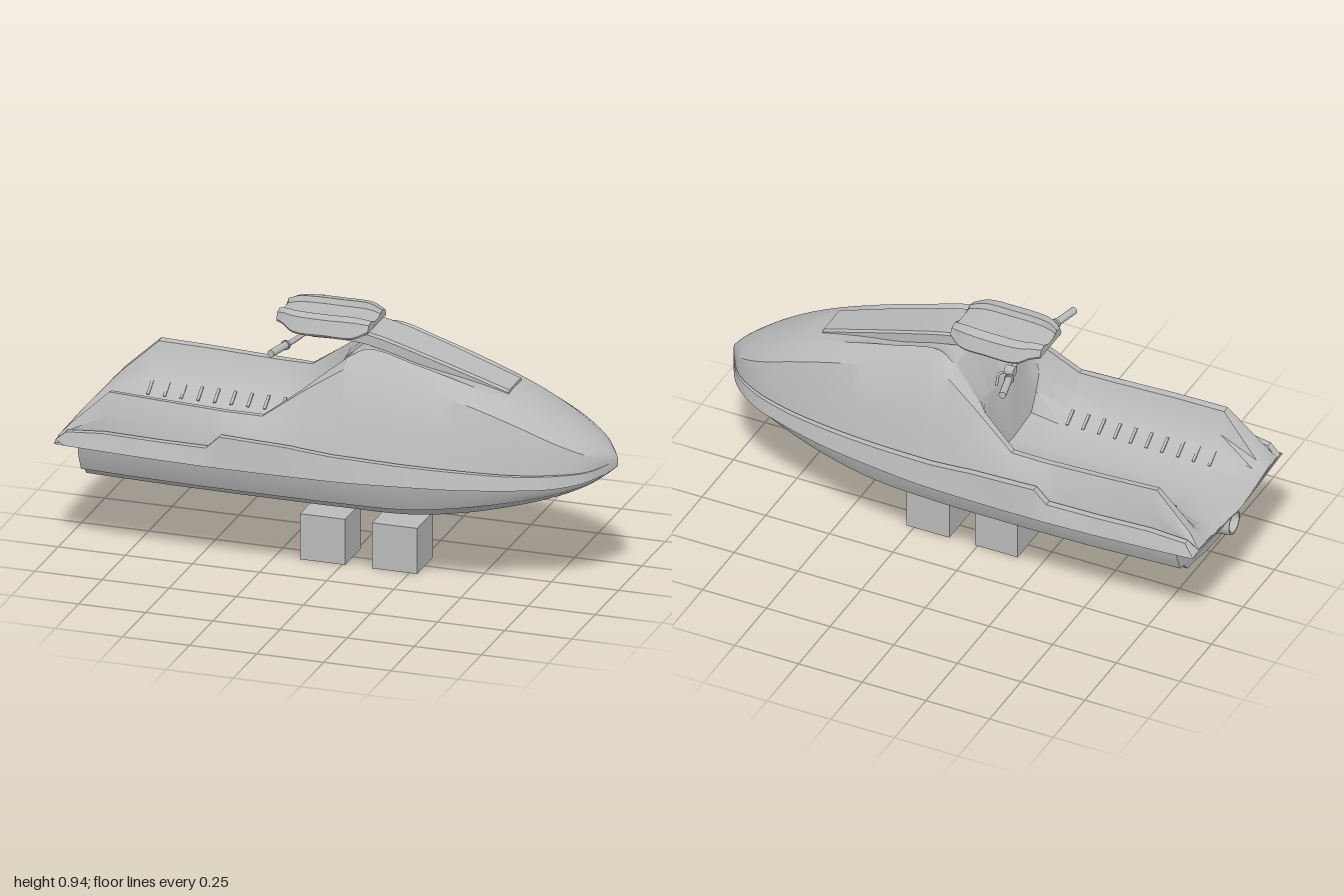
import * as THREE from 'three';
import { toCreasedNormals } from 'three/addons/utils/BufferGeometryUtils.js';

const grey = new THREE.MeshStandardMaterial({ color: 0xbababa });
grey.name = 'plain grey';
const V = (x, y, z) => new THREE.Vector3(x, y, z);

// Surface through mirrored half sections. Each station is { x, half: [[z, y], ...] },
// running from the +z side to the centre line; flip is for sections open at the top.
function loft(stations, { flip = false, steps = 4, startCap = null, endCap = null, crease = 0.5 } = {}) {
  const full = stations.map(({ x, half }) => {
    const left = half.map(([z, y]) => V(x, y, z));
    const right = half.slice(0, -1).reverse().map(([z, y]) => V(x, y, -z));
    const row = [...left, ...right];
    return flip ? row.reverse() : row;
  });
  const n = (full.length - 1) * steps;
  const cols = full[0].map((_, j) => new THREE.CatmullRomCurve3(full.map(r => r[j]), false, 'centripetal'));
  const rows = [];
  for (let i = 0; i <= n; i++) rows.push(cols.map(c => c.getPoint(i / n)));
  if (startCap) rows.unshift(cols.map(() => startCap));
  if (endCap) rows.push(cols.map(() => endCap));
  const pos = [];
  const tri = (a, b, c) => {
    if (b.clone().sub(a).cross(c.clone().sub(a)).length() < 1e-9) return;
    for (const p of [a, b, c]) pos.push(p.x, p.y, p.z);
  };
  for (let i = 0; i < rows.length - 1; i++) {
    for (let j = 0; j < cols.length - 1; j++) {
      tri(rows[i][j], rows[i + 1][j], rows[i][j + 1]);
      tri(rows[i + 1][j], rows[i + 1][j + 1], rows[i][j + 1]);
    }
  }
  const g = new THREE.BufferGeometry();
  g.setAttribute('position', new THREE.Float32BufferAttribute(pos, 3));
  return toCreasedNormals(g, crease);
}

// Deck section: rub rail, lip, outer wall, shoulder, ridge, inner slope, centre line
function deckSection([x, w, rail, lip, sz, sy, rz, ry, mz, my, cy]) {
  const base = [w * 0.86, lip - (lip > 0.47 ? 0.025 * Math.min(1, w / 0.3) : 0)];
  const sag = Math.min(0.025, Math.max(0, (ry - my) * 0.16));
  return { x, half: [
    [w, rail], [w * 0.945, lip], [w * 0.88, lip], base,
    [(base[0] + sz) / 2 + w * 0.025, (base[1] + sy) / 2],
    [sz, sy], [rz, ry],
    [mz + (rz - mz) * 0.75, my + (ry - my) * 0.68 - sag],
    [mz + (rz - mz) * 0.45, my + (ry - my) * 0.4 - sag],
    [mz, my], [0, cy],
  ] };
}

export function createModel() {
  const model = new THREE.Group();
  model.name = 'standUpWatercraft';
  const add = (name, geo, x = 0, y = 0, z = 0) => {
    const m = new THREE.Mesh(geo, grey);
    m.name = name;
    m.position.set(x, y, z);
    model.add(m);
    return m;
  };
  const bowTip = V(0.999, 0.48, 0);

  // Lower hull: x, half width, rail height, keel height; the chines lift towards the bow
  const hullRows = [
    [-0.9, 0.363, 0.43, 0.262], [-0.55, 0.385, 0.43, 0.262], [-0.22, 0.39, 0.43, 0.261],
    [0.05, 0.383, 0.43, 0.259], [0.3, 0.355, 0.43, 0.256], [0.5, 0.32, 0.43, 0.268],
    [0.68, 0.27, 0.432, 0.305], [0.82, 0.215, 0.435, 0.355], [0.92, 0.14, 0.445, 0.408],
    [0.97, 0.06, 0.458, 0.445], [0.995, 0.01, 0.47, 0.466],
  ];
  const hullShape = [[1, 1, 0], [0.91, 1, 0], [0.885, 0.72, 0.05], [0.81, 0.37, 0.2], [0.73, 0.34, 0.14],
    [0.65, 0.15, 0.2], [0.52, 0.14, 0.12], [0.27, 0.04, 0.04], [0, 0, 0]];
  add('hull', loft(hullRows.map(([x, w, rail, keel]) => {
    const bow = THREE.MathUtils.clamp((x - 0.3) / 0.5, 0, 1);
    return { x, half: hullShape.map(([a, b, lift]) => [w * a, keel + (rail - keel) * (b + lift * bow)]) };
  }), { flip: true, steps: 6, startCap: V(-0.91, 0.43, 0), endCap: bowTip }));

  // Foot tray and hood: x, half width, rail, lip, shoulder z y, ridge z y, inner z y, centre y
  const trayRows = [
    [-0.98, 0.355, 0.43, 0.44, 0.305, 0.445, 0.27, 0.445, 0.15, 0.44, 0.435],
    [-0.94, 0.36, 0.43, 0.475, 0.295, 0.49, 0.26, 0.487, 0.14, 0.445, 0.438],
    [-0.8, 0.37, 0.43, 0.49, 0.28, 0.622, 0.255, 0.618, 0.13, 0.455, 0.442],
    [-0.6, 0.383, 0.43, 0.49, 0.285, 0.615, 0.26, 0.612, 0.13, 0.455, 0.442],
    [-0.41, 0.39, 0.43, 0.492, 0.285, 0.607, 0.26, 0.605, 0.13, 0.455, 0.442],
    [-0.36, 0.39, 0.43, 0.54, 0.285, 0.605, 0.26, 0.603, 0.13, 0.455, 0.442],
    [-0.23, 0.39, 0.43, 0.535, 0.28, 0.603, 0.258, 0.603, 0.13, 0.455, 0.442],
    [-0.1, 0.388, 0.43, 0.53, 0.25, 0.695, 0.225, 0.7, 0.14, 0.465, 0.45],
    [-0.06, 0.387, 0.43, 0.525, 0.24, 0.722, 0.205, 0.733, 0.12, 0.7, 0.68],
  ];
  const hoodRows = [
    [0.05, 0.383, 0.43, 0.515, 0.213, 0.79, 0.162, 0.82, 0.1, 0.82, 0.81],
    [0.12, 0.378, 0.43, 0.512, 0.209, 0.787, 0.148, 0.853, 0.1, 0.835, 0.835],
    [0.3, 0.355, 0.43, 0.5, 0.202, 0.755, 0.138, 0.81, 0.095, 0.79, 0.79],
    [0.5, 0.32, 0.43, 0.49, 0.195, 0.705, 0.125, 0.75, 0.08, 0.748, 0.75],
    [0.68, 0.27, 0.432, 0.48, 0.18, 0.643, 0.11, 0.685, 0.06, 0.696, 0.7],
    [0.82, 0.215, 0.435, 0.48, 0.155, 0.583, 0.1, 0.613, 0.05, 0.625, 0.63],
    [0.92, 0.14, 0.445, 0.48, 0.105, 0.536, 0.07, 0.554, 0.04, 0.564, 0.567],
    [0.97, 0.06, 0.458, 0.487, 0.045, 0.513, 0.03, 0.524, 0.015, 0.528, 0.53],
    [0.995, 0.01, 0.47, 0.493, 0.006, 0.5, 0.004, 0.502, 0.002, 0.503, 0.503],
  ];
  add('footTray', loft([...trayRows, hoodRows[0]].map(deckSection),
    { steps: 1, startCap: V(-0.995, 0.432, 0), crease: 0.55 }));
  add('hood', loft(hoodRows.map(deckSection), { steps: 6, endCap: bowTip, crease: 0.55 }));
  add('sternUnderside', new THREE.BoxGeometry(0.13, 0.006, 0.7), -0.91, 0.432, 0);

  // Grip ribs on the tray slopes
  for (const s of [1, -1]) {
    for (let i = 0; i < 10; i++) {
      const rib = add('footRib', new THREE.BoxGeometry(0.01, 0.008, 0.06), -0.8 + i * 0.062, 0.476, s * 0.16);
      rib.rotation.x = -s * 0.57;
    }
  }

  // Handle pole lying along the hood
  const poleRows = [[-0.12, 0.07, 0.885], [0, 0.08, 0.892], [0.1, 0.086, 0.887], [0.3, 0.084, 0.833],
    [0.5, 0.075, 0.768], [0.615, 0.07, 0.73]];
  add('handlePole', loft(poleRows.map(([x, w, y]) => ({
    x, half: [[0, y - 0.045], [w, y - 0.045], [w, y - 0.008], [w - 0.008, y], [0, y]],
  })), { startCap: V(-0.12, 0.86, 0), endCap: V(0.615, 0.705, 0) }));

  // Chin pad with drooping wings and a sunken middle
  const padRows = [[-0.245, 0.085, 0.008], [-0.215, 0.108, 0], [-0.17, 0.128, 0], [-0.05, 0.134, 0],
    [0.05, 0.126, 0], [0.1, 0.1, 0.012]];
  add('chinPad', loft(padRows.map(([x, w, d], i) => {
    const droop = i > 1 && i < 5 ? 0.868 : 0.888;
    return { x, half: [[0, 0.89], [w * 0.82, 0.89], [w * 0.96, droop], [w, droop + 0.008],
      [w * 0.87, 0.927 - d], [w * 0.58, 0.934 - d], [w * 0.52, 0.914 - d / 2], [0, 0.914 - d / 2]] };
  }), { startCap: V(-0.245, 0.9, 0), endCap: V(0.1, 0.9, 0), crease: 0.4 }));

  // Handlebar, grips and controls
  const bar = new THREE.CatmullRomCurve3([V(-0.195, 0.845, 0.28), V(-0.16, 0.845, 0.13),
    V(-0.14, 0.85, 0), V(-0.16, 0.845, -0.13), V(-0.195, 0.845, -0.28)]);
  add('handlebar', new THREE.TubeGeometry(bar, 32, 0.009, 10));
  add('steeringClamp', new THREE.BoxGeometry(0.06, 0.05, 0.1), -0.135, 0.862, 0);
  for (const s of [1, -1]) {
    const grip = add('grip', new THREE.CylinderGeometry(0.0135, 0.0135, 0.1, 14), -0.185, 0.845, s * 0.237);
    grip.rotation.set(Math.PI / 2, 0, s * 0.23);
    const collar = add('gripCollar', new THREE.CylinderGeometry(0.018, 0.018, 0.008, 14), -0.174, 0.845, s * 0.187);
    collar.rotation.copy(grip.rotation);
  }
  const control = add('leverHousing', new THREE.CylinderGeometry(0.018, 0.018, 0.035, 14), -0.165, 0.86, -0.157);
  control.rotation.z = Math.PI / 2;
  const lever = new THREE.CatmullRomCurve3([V(-0.155, 0.85, -0.155), V(-0.135, 0.852, -0.18), V(-0.155, 0.848, -0.25)]);
  add('lever', new THREE.TubeGeometry(lever, 12, 0.005, 8));

  // Jet nozzle at the stern
  const nozzle = add('jetNozzle', new THREE.LatheGeometry([
    [0.056, -0.03], [0.05, 0.02], [0.046, 0.045], [0.036, 0.045], [0.036, -0.03],
  ].map(([r, y]) => new THREE.Vector2(r, y)), 24), -0.92, 0.355, 0);
  nozzle.rotation.z = Math.PI / 2;
  const core = add('nozzleCore', new THREE.CylinderGeometry(0.036, 0.036, 0.01, 24), -0.915, 0.355, 0);
  core.rotation.z = Math.PI / 2;

  // Two support blocks below the keel
  for (const x of [-0.073, 0.195]) {
    add('supportBlock', new THREE.BoxGeometry(0.168, 0.172, 0.168), x, 0.086, 0);
  }
  return model;
}
